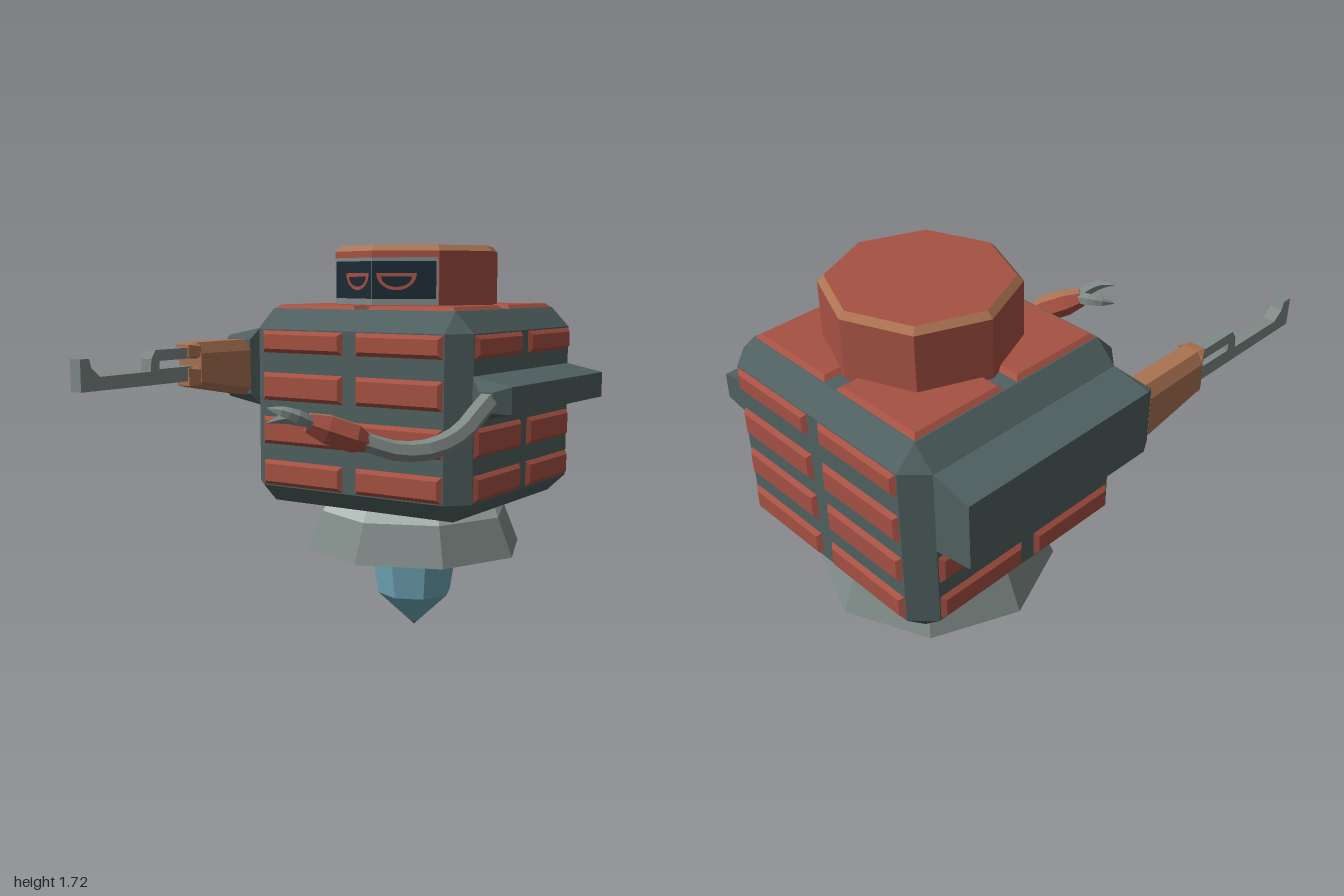
import * as THREE from 'three';
import { ConvexGeometry } from 'three/addons/geometries/ConvexGeometry.js';

const paint = (name, color) => {
  const m = new THREE.MeshStandardMaterial({ color });
  m.name = name;
  return m;
};
const V = (x, y, z) => new THREE.Vector3(x, y, z);

// Gives every facet its own normal
function faceted(geo) {
  const g = geo.index ? geo.toNonIndexed() : geo;
  g.computeVertexNormals();
  return g;
}

// Tube whose radius follows a list of radii along a smooth path
function taperedTube(points, radii, steps, sides) {
  const curve = new THREE.CatmullRomCurve3(points.map((p) => V(...p)));
  const geo = new THREE.TubeGeometry(curve, steps, 1, sides);
  const pos = geo.attributes.position, v = V(0, 0, 0);
  for (let i = 0; i <= steps; i++) {
    const t = i / steps, c = curve.getPointAt(t);
    const f = t * (radii.length - 1), k = Math.min(Math.floor(f), radii.length - 2);
    const r = THREE.MathUtils.lerp(radii[k], radii[k + 1], f - k);
    for (let j = 0; j <= sides; j++) {
      const n = i * (sides + 1) + j;
      v.fromBufferAttribute(pos, n).sub(c).multiplyScalar(r).add(c);
      pos.setXYZ(n, v.x, v.y, v.z);
    }
  }
  return faceted(geo);
}

const lathe = (pts, segs, start = 0, length = Math.PI * 2) =>
  faceted(new THREE.LatheGeometry(pts.map((p) => new THREE.Vector2(...p)), segs, start, length));

// Rectangle of corner points in a plane of constant z
const rect = (x0, x1, y0, y1, z) => [V(x0, y0, z), V(x1, y0, z), V(x0, y1, z), V(x1, y1, z)];

export function createModel() {
  const red = paint('brickRed', 0xa65143);
  const slate = paint('slate', 0x506060);
  const gray = paint('steelGray', 0x7f8a87);
  const pale = paint('paleSteel', 0xb4c1bc);
  const blue = paint('thrusterBlue', 0x70a8b8);
  const tan = paint('copper', 0xab7352);
  const navy = paint('visorNavy', 0x1c2a36);

  const model = new THREE.Group();
  model.name = 'hoverRobot';
  const CZ = -0.45;
  const add = (name, geo, mat, parent = model) => {
    const m = new THREE.Mesh(geo, mat);
    m.name = name;
    parent.add(m);
    return m;
  };
  const hull = (name, pts, mat, parent) => add(name, new ConvexGeometry(pts), mat, parent);

  // Chamfered body block
  const bodyPts = [];
  const H = 0.535, F = 0.45;
  for (const sx of [-1, 1]) for (const sz of [-1, 1]) {
    for (const [y, yFlat] of [[0.61, 0.69], [1.457, 1.37]]) {
      bodyPts.push(V(sx * F, y, CZ + sz * F), V(sx * H, yFlat, CZ + sz * F), V(sx * F, yFlat, CZ + sz * H));
    }
  }
  hull('body', bodyPts, slate);

  // Bevelled armour panels on the four walls
  const panelAt = (parent, x0, x1, y0, y1, z, b = 0.022) => hull('armourPanel',
    [...rect(x0, x1, y0, y1, z - 0.005), ...rect(x0 + b, x1 - b, y0 + b, y1 - b, z + 0.016)], red, parent);
  const rows = [[0.69, 0.81], [0.87, 1.0], [1.06, 1.19], [1.265, 1.37]];
  const walls = [['frontPanels', 0, [0, 1, 2, 3]], ['leftPanels', 1, [0, 1, 3]],
    ['backPanels', 2, [0, 1, 2, 3]], ['rightPanels', 3, [0, 1]]];
  for (const [name, turn, used] of walls) {
    const wall = new THREE.Group();
    wall.name = name;
    wall.position.z = CZ;
    wall.rotation.y = turn * Math.PI / 2;
    for (const r of used) {
      panelAt(wall, -F, -0.027, ...rows[r], H);
      panelAt(wall, 0.027, F, ...rows[r], H);
    }
    model.add(wall);
  }

  // Four panels on the roof
  const roof = new THREE.Group();
  roof.name = 'roofPanels';
  roof.position.z = CZ;
  roof.rotation.x = -Math.PI / 2;
  for (const [a, b] of [[-F, -0.027], [0.027, F]]) {
    for (const [c, d] of [[-F, -0.027], [0.027, F]]) panelAt(roof, a, b, c, d, 1.457);
  }
  model.add(roof);

  // Octagonal head with copper rim
  const head = new THREE.Group();
  head.name = 'head';
  head.position.z = -0.46;
  model.add(head);
  const drum = (name, rTop, rBottom, y0, y1, mat) => {
    const m = add(name, faceted(new THREE.CylinderGeometry(rTop, rBottom, y1 - y0, 8)), mat, head);
    m.position.y = (y0 + y1) / 2;
  };
  drum('headDrum', 0.37, 0.37, 1.45, 1.7, red);
  drum('headRim', 0.345, 0.37, 1.7, 1.724, [tan, red, red]);

  // Visor wrapped over the two front faces, with half-round eyes
  for (const s of [-1, 1]) {
    const side = new THREE.Group();
    side.name = s > 0 ? 'leftVisor' : 'rightVisor';
    side.position.z = 0.37;
    side.rotation.y = s * Math.PI / 8;
    head.add(side);
    const plate = (name, w, y0, y1, mat, z) => {
      const m = add(name, new THREE.PlaneGeometry(w, y1 - y0), mat, side);
      m.position.set(s * w / 2, (y0 + y1) / 2, z);
    };
    plate('visorFrame', 0.28, 1.475, 1.672, gray, 0.002);
    plate('visorScreen', 0.271, 1.5, 1.657, navy, 0.004);
    const eye = new THREE.Shape();
    eye.absellipse(s * 0.104, 1.607, 0.086, 0.071, Math.PI, Math.PI * 2, false);
    const hole = new THREE.Path();
    hole.absellipse(s * 0.104, 1.592, 0.065, 0.042, Math.PI, Math.PI * 2, false);
    eye.holes.push(hole);
    add('eye', new THREE.ShapeGeometry(eye, 8), red, side).position.z = 0.006;
  }

  // Flared skirt and thruster cone
  const base = new THREE.Group();
  base.name = 'thruster';
  base.position.z = CZ;
  model.add(base);
  add('skirtCollar', faceted(new THREE.CylinderGeometry(0.4, 0.425, 0.06, 8)), pale, base).position.y = 0.58;
  add('skirt', faceted(new THREE.CylinderGeometry(0.425, 0.495, 0.17, 8)), [gray, gray, slate], base).position.y = 0.465;
  add('thrusterCone', lathe([[0.018, 0.017], [0.17, 0.16], [0.207, 0.39]], 8), blue, base);
  add('thrusterTip', lathe([[0, 0], [0.018, 0.017]], 8), tan, base);

  // Right shoulder beam, funnel and gun
  const gunArm = new THREE.Group();
  gunArm.name = 'gunArm';
  model.add(gunArm);
  const beam = (xi, xo, inner, outer, z) =>
    [V(xi, inner[0], z), V(xi, inner[1], z), V(xo, outer[0], z), V(xo, outer[1], z)];
  const rightEnd = (z) => beam(-0.53, -0.705, [1.03, 1.37], [1.06, 1.335], z);
  hull('rightShoulderBeam', [...rightEnd(-0.9), ...rightEnd(0)], slate, gunArm);
  hull('gunFunnel', [...rightEnd(0), ...rect(-0.685, -0.555, 1.08, 1.32, 0.04)], slate, gunArm);
  const GX = -0.62;
  const octo = (hw, y0, y1, z, c) => [
    ...rect(GX - hw, GX + hw, y0 + c, y1 - c * 1.6, z), ...rect(GX - hw + c, GX + hw - c, y0, y1, z)];
  hull('gunStock', [...octo(0.066, 1.075, 1.32, 0.04, 0.03), ...octo(0.062, 1.13, 1.32, 0.36, 0.028)], tan, gunArm);
  for (const [y0, y1] of [[1.13, 1.222], [1.252, 1.32]]) {
    hull('stockProng', [...rect(GX - 0.06, GX + 0.06, y0 + 0.012, y1 - 0.015, 0.358),
      ...rect(GX - 0.035, GX + 0.035, y0, y1, 0.358),
      ...rect(GX - 0.033, GX + 0.033, y0 + 0.01, y1 - 0.008, 0.405)], tan, gunArm);
  }

  // Barrel profile drawn along z and y, with a slot
  const P = (pts) => pts.map((p) => new THREE.Vector2(...p));
  const barrel = new THREE.Shape(P([[0.35, 1.16], [1, 1.16], [1, 1.285], [0.955, 1.285], [0.945, 1.25],
    [0.9, 1.213], [0.625, 1.215], [0.62, 1.265], [0.595, 1.3], [0.35, 1.3]]));
  barrel.holes.push(new THREE.Path(P([[0.355, 1.222], [0.355, 1.255], [0.575, 1.255], [0.575, 1.222]])));
  const gun = add('gunBarrel', new THREE.ExtrudeGeometry(barrel, { depth: 0.054, bevelEnabled: false }), gray, gunArm);
  gun.rotation.y = -Math.PI / 2;
  gun.position.x = GX + 0.027;

  // Left shoulder beam, funnel and bending arm
  const clawArm = new THREE.Group();
  clawArm.name = 'clawArm';
  model.add(clawArm);
  const leftEnd = (z) => beam(0.53, 0.703, [1.03, 1.205], [1.06, 1.17], z);
  hull('leftShoulderBeam', [...leftEnd(-0.9), ...leftEnd(0)], slate, clawArm);
  hull('armFunnel', [...leftEnd(0), ...rect(0.585, 0.645, 1.07, 1.15, 0.05)], slate, clawArm);
  add('bendingArm', taperedTube([[0.62, 1.13, 0], [0.61, 1.08, 0.09], [0.585, 1.0, 0.2], [0.53, 0.955, 0.33],
    [0.45, 0.955, 0.43], [0.35, 1.0, 0.53]], [0.042, 0.042, 0.04, 0.036], 10, 6), gray, clawArm);

  // Six-sided cuff with a copper top face
  const cuff = new THREE.Group();
  cuff.name = 'wristCuff';
  cuff.position.set(0.37, 0.99, 0.51);
  cuff.quaternion.setFromUnitVectors(V(0, 1, 0), V(-0.17, 0.085, 0.17).normalize());
  clawArm.add(cuff);
  const profile = [[0, 0], [0.035, 0], [0.06, 0.05], [0.06, 0.16], [0.04, 0.235], [0, 0.235]];
  const deg = Math.PI / 180;
  add('cuffTop', lathe(profile, 1, 105 * deg, 60 * deg), tan, cuff);
  add('cuffShell', lathe(profile, 5, 165 * deg, 300 * deg), red, cuff);

  // Two curved claw fingers
  const fingers = [
    [[0.22, 1.07, 0.65], [0.17, 1.08, 0.655], [0.12, 1.08, 0.68], [0.08, 1.065, 0.735]],
    [[0.235, 1.07, 0.68], [0.215, 1.095, 0.73], [0.175, 1.115, 0.765], [0.12, 1.125, 0.78]],
  ];
  for (const f of fingers) add('clawFinger', taperedTube(f, [0.026, 0.028, 0.02, 0.003], 6, 5), gray, clawArm);

  return model;
}
